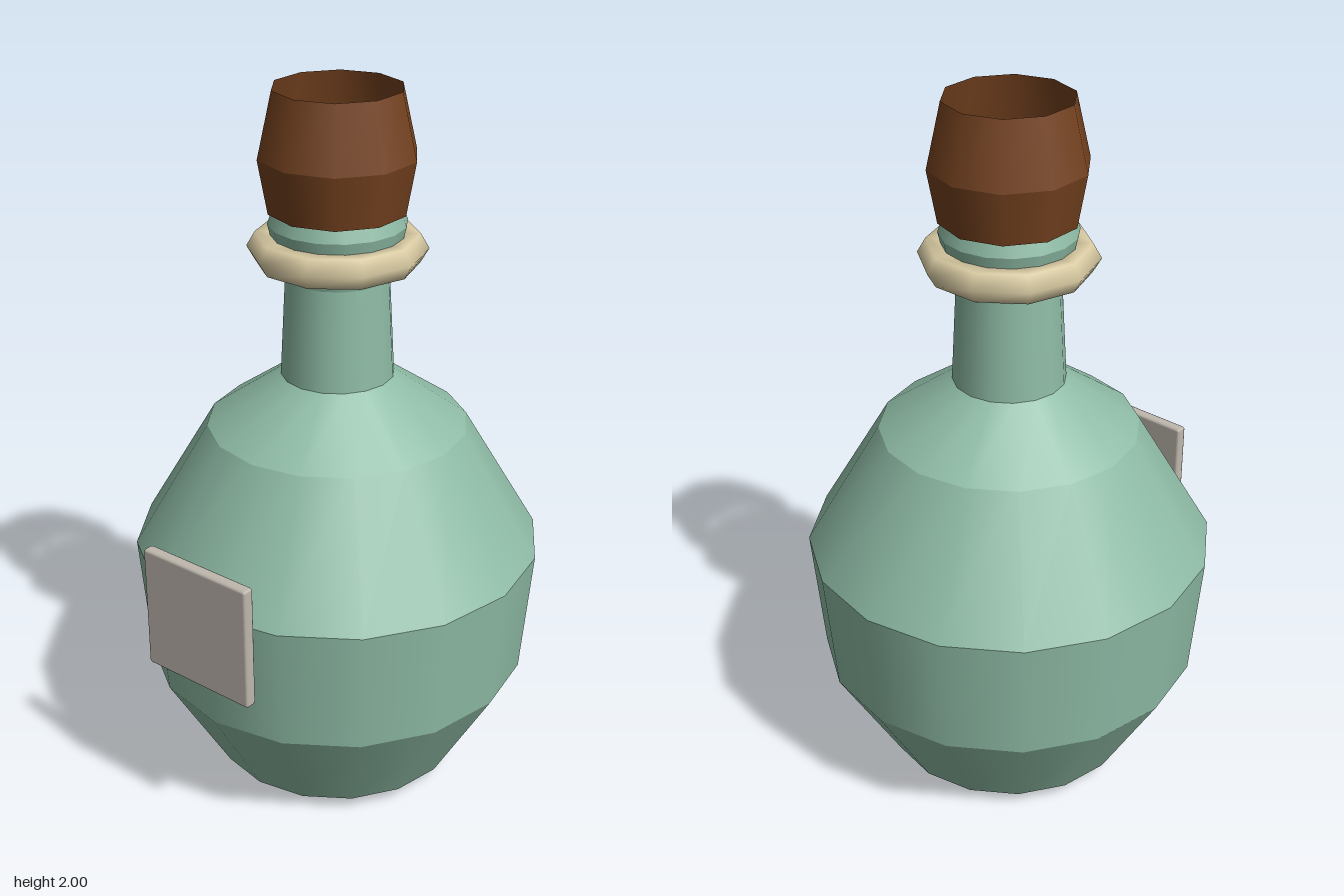
import * as THREE from 'three';
import { mergeGeometries } from 'three/addons/utils/BufferGeometryUtils.js';
import { RoundedBoxGeometry } from 'three/addons/geometries/RoundedBoxGeometry.js';

// Stacked open bands: smooth around the axis, sharp between the bands
function turned(profile, sides) {
  const bands = [];
  for (let i = 0; i < profile.length - 1; i++) {
    const [r0, y0] = profile[i];
    const [r1, y1] = profile[i + 1];
    const band = new THREE.CylinderGeometry(r1, r0, y1 - y0, sides, 1, true);
    band.translate(0, (y0 + y1) / 2, 0);
    bands.push(band);
  }
  return mergeGeometries(bands);
}

export function createModel() {
  const material = (name, color, side = THREE.FrontSide) => {
    const m = new THREE.MeshStandardMaterial({ color, side });
    m.name = name;
    return m;
  };
  const glass = material('green glass', 0x8fbca6, THREE.DoubleSide);
  const cork = material('brown cork', 0x75421f, THREE.DoubleSide);
  const rope = material('beige cord', 0xd9cba3);
  const paper = material('grey label', 0xbfb8ae);

  const group = new THREE.Group();
  group.name = 'bottle';
  const add = (name, geometry, mat, y = 0, z = -0.015) => {
    const mesh = new THREE.Mesh(geometry, mat);
    mesh.name = name;
    mesh.position.set(0, y, z);
    group.add(mesh);
    return mesh;
  };

  // Faceted belly with a shallow pointed base
  add('body', turned([
    [0, 0], [0.36, 0.045], [0.54, 0.36], [0.57, 0.72], [0.36, 1.075], [0.155, 1.22],
  ], 16), glass);

  // Tapered neck, flaring under the lip
  add('neck', turned([[0.155, 1.22], [0.14, 1.5], [0.15, 1.54], [0.15, 1.61]], 16), glass);

  // Lip, folding back into the throat
  add('lip', turned([
    [0.15, 1.605], [0.178, 1.615], [0.185, 1.645], [0.173, 1.68], [0.16, 1.685], [0.143, 1.64],
  ], 16), glass);

  // Hollow stopper, open at the top
  add('stopper', turned([[0.187, 1.68], [0.213, 1.825], [0.173, 2]], 10), cork);

  // Cord around the neck
  add('neckRing', new THREE.TorusGeometry(0.195, 0.046, 6, 10).rotateX(Math.PI / 2), rope, 1.575);

  // Square label in front of the belly
  add('label', new RoundedBoxGeometry(0.354, 0.354, 0.034, 1, 0.008), paper, 0.69, 0.567);

  return group;
}
